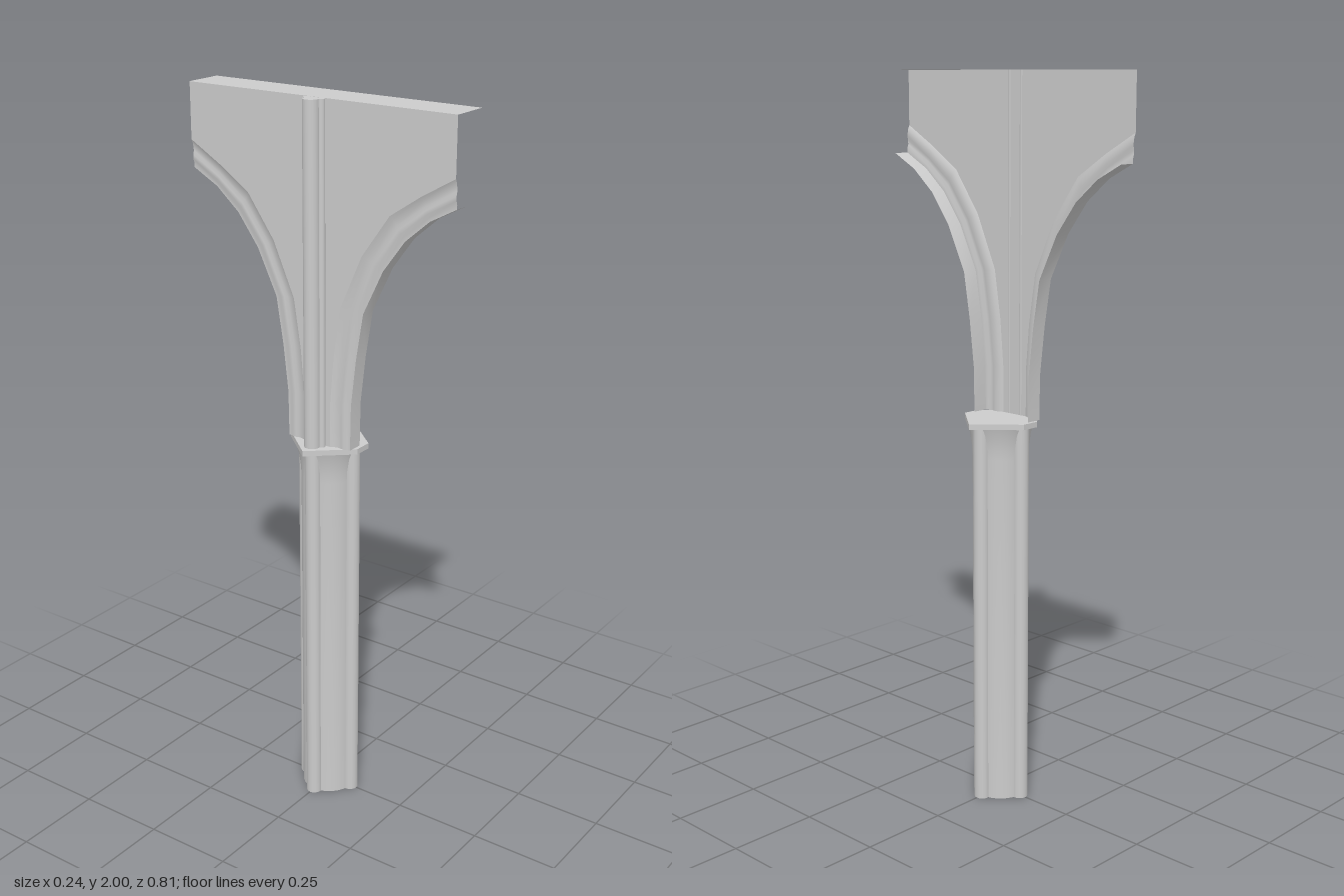
import * as THREE from 'three';
import { toCreasedNormals } from 'three/addons/utils/BufferGeometryUtils.js';

const solid = new THREE.MeshStandardMaterial({ color: 0xcccccc });
const sheet = new THREE.MeshStandardMaterial({ color: 0xcccccc, side: THREE.DoubleSide });

const CAP_TOP = 1.085;
const WALL_X = -0.055;

// Arch curves as [z, y], from the springing up to the crown
const innerArch = [[0.042, CAP_TOP], [0.042, 1.21], [0.053, 1.34], [0.074, 1.475], [0.138, 1.62], [0.22, 1.735], [0.31, 1.795], [0.405, 1.85]];
const outerArch = [[0.1, CAP_TOP], [0.102, 1.21], [0.117, 1.34], [0.138, 1.468], [0.197, 1.59], [0.26, 1.675], [0.33, 1.735], [0.405, 1.775]];

// Moulding section: [fraction from inner to outer curve, x]
const section = [[0, WALL_X], [0.15, -0.05], [0.4, -0.047], [0.55, -0.05], [0.7, -0.05], [0.85, -0.046], [1, -0.046], [1, -0.001]];

function createModel() {
  const group = new THREE.Group();
  const add = (name, geometry, material = solid, parent = group) => {
    const mesh = new THREE.Mesh(geometry, material);
    mesh.name = name;
    parent.add(mesh);
    return mesh;
  };
  const rod = (name, x, z, r, y0, y1, parent) => {
    const g = new THREE.CylinderGeometry(r, r, y1 - y0, 16);
    add(name, g.translate(x, (y0 + y1) / 2, z), solid, parent);
  };

  // Clustered pier: round core flaring into the capital, four attached shafts
  const pier = new THREE.Group();
  pier.name = 'pier';
  group.add(pier);
  const coreProfile = [[0, 0], [0.076, 0], [0.076, 0.98], [0.078, 1.01], [0.083, 1.045], [0.09, 1.07], [0, 1.07]];
  const core = new THREE.LatheGeometry(coreProfile.map(p => new THREE.Vector2(...p)), 32);
  add('pierCore', toCreasedNormals(core, 0.6), solid, pier);
  for (let i = 0; i < 4; i++) {
    const a = i * Math.PI / 2;
    rod('pierShaft', Math.cos(a) * 0.075, Math.sin(a) * 0.075, 0.022, 0, 1.07, pier);
  }

  // Six-sided abacus plate
  const plan = [[0.122, 0], [0.026, 0.11], [-0.026, 0.11], [-0.122, 0], [-0.026, -0.11], [0.026, -0.11]];
  const abacus = new THREE.ExtrudeGeometry(new THREE.Shape(plan.map(p => new THREE.Vector2(...p))),
    { depth: CAP_TOP - 1.07, bevelEnabled: false });
  add('abacus', abacus.rotateX(-Math.PI / 2).translate(0, 1.07, 0));

  // Thin spandrel wall bounded by the inner arch curves
  const outline = [
    ...innerArch, [0.405, 2], [-0.405, 2],
    ...innerArch.map(([z, y]) => [-z, y]).reverse(),
  ];
  const wall = new THREE.ShapeGeometry(new THREE.Shape(outline.map(p => new THREE.Vector2(...p))));
  add('spandrelWall', wall.rotateY(-Math.PI / 2).translate(WALL_X, 0, 0), sheet);

  // Arch mouldings and soffits, one each side
  for (const side of [1, -1]) {
    const pos = [], index = [];
    const n = section.length;
    innerArch.forEach(([zi, yi], i) => {
      const [zo, yo] = outerArch[i];
      for (const [t, x] of section) {
        pos.push(x, yi + (yo - yi) * t, side * (zi + (zo - zi) * t));
      }
    });
    for (let i = 0; i < innerArch.length - 1; i++) {
      for (let j = 0; j < n - 1; j++) {
        const a = i * n + j, b = a + 1, c = a + n, d = c + 1;
        if (side > 0) index.push(a, b, c, b, d, c);
        else index.push(a, c, b, b, c, d);
      }
    }
    const arch = new THREE.BufferGeometry();
    arch.setAttribute('position', new THREE.Float32BufferAttribute(pos, 3));
    arch.setIndex(index);
    add(side > 0 ? 'frontArchMoulding' : 'backArchMoulding', toCreasedNormals(arch, 0.6), sheet);
  }

  // Flat ledge along the top
  const ledge = new THREE.PlaneGeometry(0.11, 0.81);
  add('topLedge', ledge.rotateX(-Math.PI / 2).translate(0, 2, 0), sheet);

  // Wall shaft rising from the capital, with slim side rolls
  const wallShaft = new THREE.Group();
  wallShaft.name = 'wallShaft';
  group.add(wallShaft);
  rod('mainRoll', -0.078, 0, 0.022, CAP_TOP, 2, wallShaft);
  for (const s of [1, -1]) rod('sideRoll', -0.064, s * 0.021, 0.01, CAP_TOP, 2, wallShaft);

  return group;
}

export { createModel };
